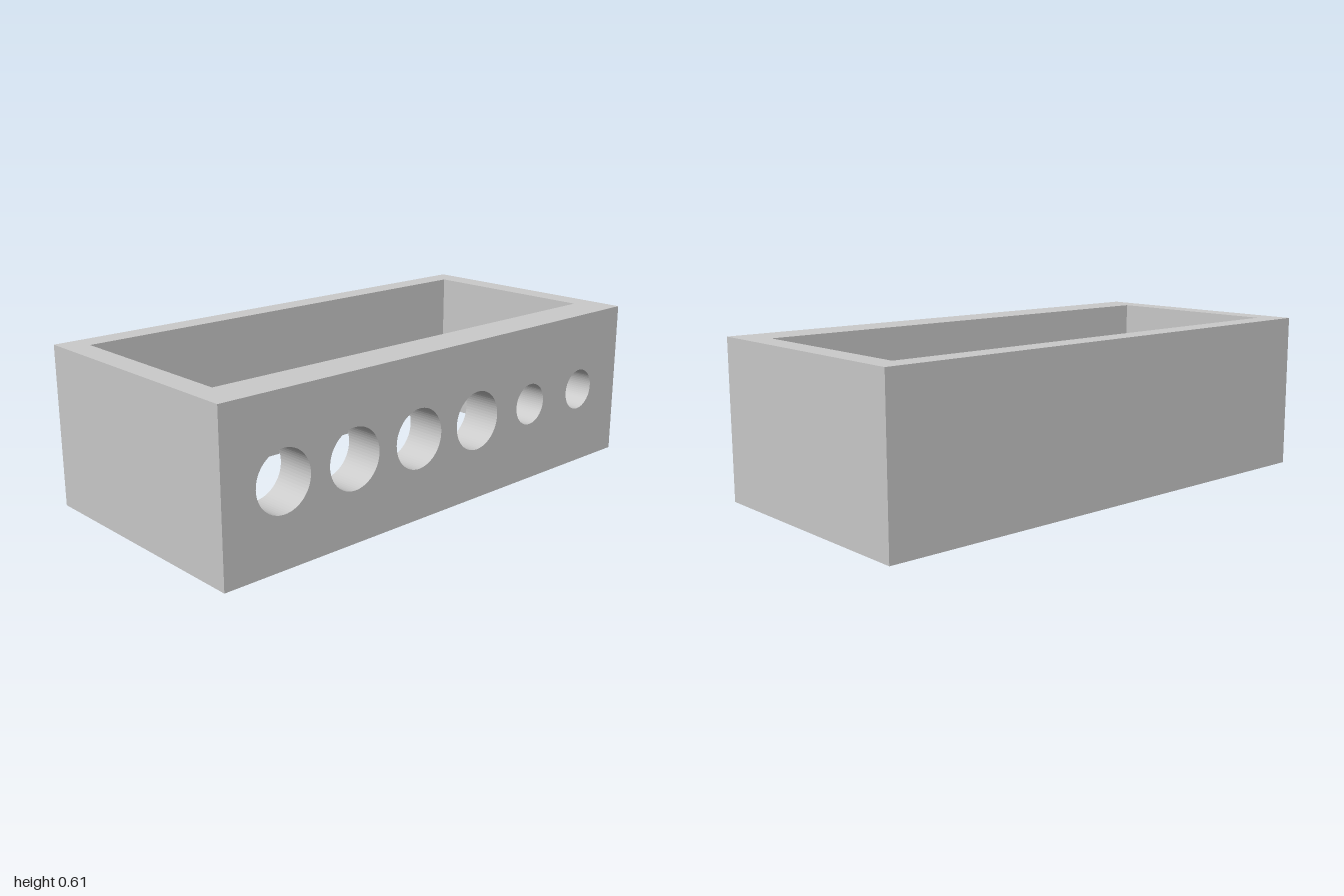
import * as THREE from 'three';

const W = 1, H = 0.606, D = 0.485;                  // half width, height, half depth
const INNER_X = 0.909, INNER_BACK = -0.394, INNER_FRONT = 0.333;

function polygon(points) {
  return new THREE.Shape(points.map(([x, y]) => new THREE.Vector2(x, y)));
}

export function createModel() {
  const group = new THREE.Group();
  group.name = 'openFrameBox';
  const material = new THREE.MeshStandardMaterial({ color: 0xcccccc, flatShading: true });

  // Thick front wall with a row of four large and two small round holes
  const front = polygon([[-W, 0], [W, 0], [W, H], [-W, H]]);
  const radii = [0.111, 0.111, 0.111, 0.111, 0.08, 0.08];
  radii.forEach((radius, i) => {
    const hole = new THREE.Path();
    hole.absarc(-0.758 + i * 0.303, H / 2, radius, 0, Math.PI * 2, true);
    front.holes.push(hole);
  });
  const frontGeometry = new THREE.ExtrudeGeometry(front, {
    depth: D - INNER_FRONT, bevelEnabled: false, curveSegments: 32,
  });
  frontGeometry.translate(0, 0, INNER_FRONT);
  const frontWall = new THREE.Mesh(frontGeometry, material);
  frontWall.name = 'frontWall';

  // Side and back walls as one U-shaped plan (shape y is -z), raised to full height
  const plan = polygon([
    [-W, -INNER_FRONT], [-INNER_X, -INNER_FRONT], [-INNER_X, -INNER_BACK], [INNER_X, -INNER_BACK],
    [INNER_X, -INNER_FRONT], [W, -INNER_FRONT], [W, D], [-W, D],
  ]);
  const wallGeometry = new THREE.ExtrudeGeometry(plan, { depth: H, bevelEnabled: false });
  wallGeometry.rotateX(-Math.PI / 2);
  const walls = new THREE.Mesh(wallGeometry, material);
  walls.name = 'sideAndBackWalls';

  group.add(frontWall, walls);
  return group;
}
